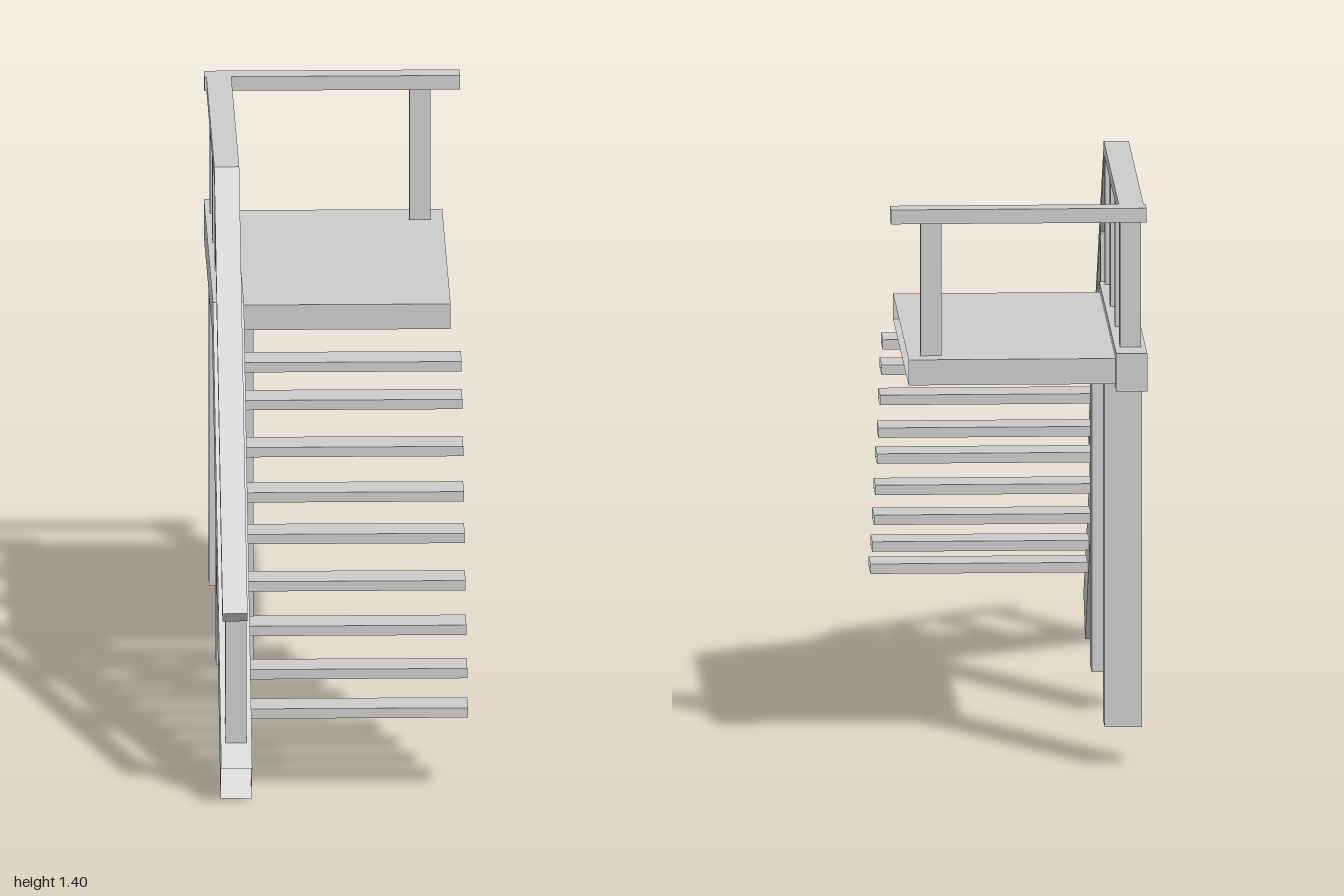
import * as THREE from 'three';

const material = new THREE.MeshStandardMaterial({
  color: 0xcccccc, flatShading: true, side: THREE.DoubleSide,
});
const FACES = ['+x', '-x', '+y', '-y', '+z', '-z'];

// Box given by its limits; one face may be left open
function box(name, [x0, x1], [y0, y1], [z0, z1], open) {
  const geo = new THREE.BoxGeometry(x1 - x0, y1 - y0, z1 - z0);
  const index = Array.from(geo.index.array);
  geo.setIndex(index.filter((_, i) => FACES[Math.floor(i / 6)] !== open));
  geo.clearGroups();
  geo.translate((x0 + x1) / 2, (y0 + y1) / 2, (z0 + z1) / 2);
  const mesh = new THREE.Mesh(geo, material);
  mesh.name = name;
  return mesh;
}

// Side profile of [z, y] points, extruded across x; the wall from the last
// point back to the first may be left open (it is the last six vertices)
function beam(name, [x0, x1], points, openEnd = false) {
  const shape = new THREE.Shape(points.map(([z, y]) => new THREE.Vector2(z, y)));
  const geo = new THREE.ExtrudeGeometry(shape, { depth: x1 - x0, bevelEnabled: false });
  geo.rotateY(-Math.PI / 2).translate(x1, 0, 0);
  geo.clearGroups();
  if (openEnd) {
    for (const key of ['position', 'normal', 'uv']) {
      const { array, itemSize } = geo.getAttribute(key);
      geo.setAttribute(key, new THREE.BufferAttribute(array.slice(0, -6 * itemSize), itemSize));
    }
  }
  const mesh = new THREE.Mesh(geo, material);
  mesh.name = name;
  return mesh;
}

export function createModel() {
  const model = new THREE.Group();
  model.name = 'staircase';

  // Stringer that bends into the landing beam, open at its foot
  model.add(beam('stringer', [-0.315, -0.238], [
    [0.892, 0], [-0.06, 0.955], [-1, 0.955], [-1, 1.05], [0.035, 1.05], [0.985, 0.1],
  ], true));

  // Landing
  model.add(box('landing', [-0.24, 0.275], [0.967, 1.031], [-0.96, -0.01], '+x'));

  // Support posts
  for (const z of [-0.105, -0.89]) {
    model.add(box('supportPost', [-0.305, -0.212], [0.1, 0.99], [z - 0.047, z + 0.047], '-y'));
  }

  // Treads: [front edge z, top y]
  const treads = [
    [0.105, 0.913], [0.182, 0.836], [0.285, 0.742], [0.362, 0.646], [0.458, 0.564],
    [0.555, 0.468], [0.645, 0.377], [0.746, 0.292], [0.85, 0.218],
  ];
  for (const [z, y] of treads) {
    model.add(box('tread', [-0.24, 0.3], [y - 0.025, y], [z - 0.105, z], '+x'));
  }

  // Handrail along the stairs and landing
  model.add(beam('handrail', [-0.312, -0.25], [
    [1, 0.5], [0.978, 0.475], [0.04, 1.367], [-0.905, 1.367], [-0.905, 1.4], [0.05, 1.4],
  ]));

  // Balusters reach from the stringer to the handrail
  for (const z of [0.908, 0.584, 0.29, 0.012, -0.303, -0.588, -0.878]) {
    const front = z + 0.025, back = z - 0.025;
    const foot = Math.min(1.05, 1.085 - front);
    const head = Math.min(1.37, 1.37 - 0.955 * (z - 0.04));
    model.add(box('baluster', [-0.303, -0.251], [foot, head], [back, front]));
  }

  // Rear rail and its end post
  model.add(box('rearRail', [-0.317, 0.317], [1.364, 1.4], [-0.912, -0.852], '+x'));
  model.add(box('rearPost', [0.191, 0.243], [1.0, 1.38], [-0.902, -0.856]));

  return model;
}
